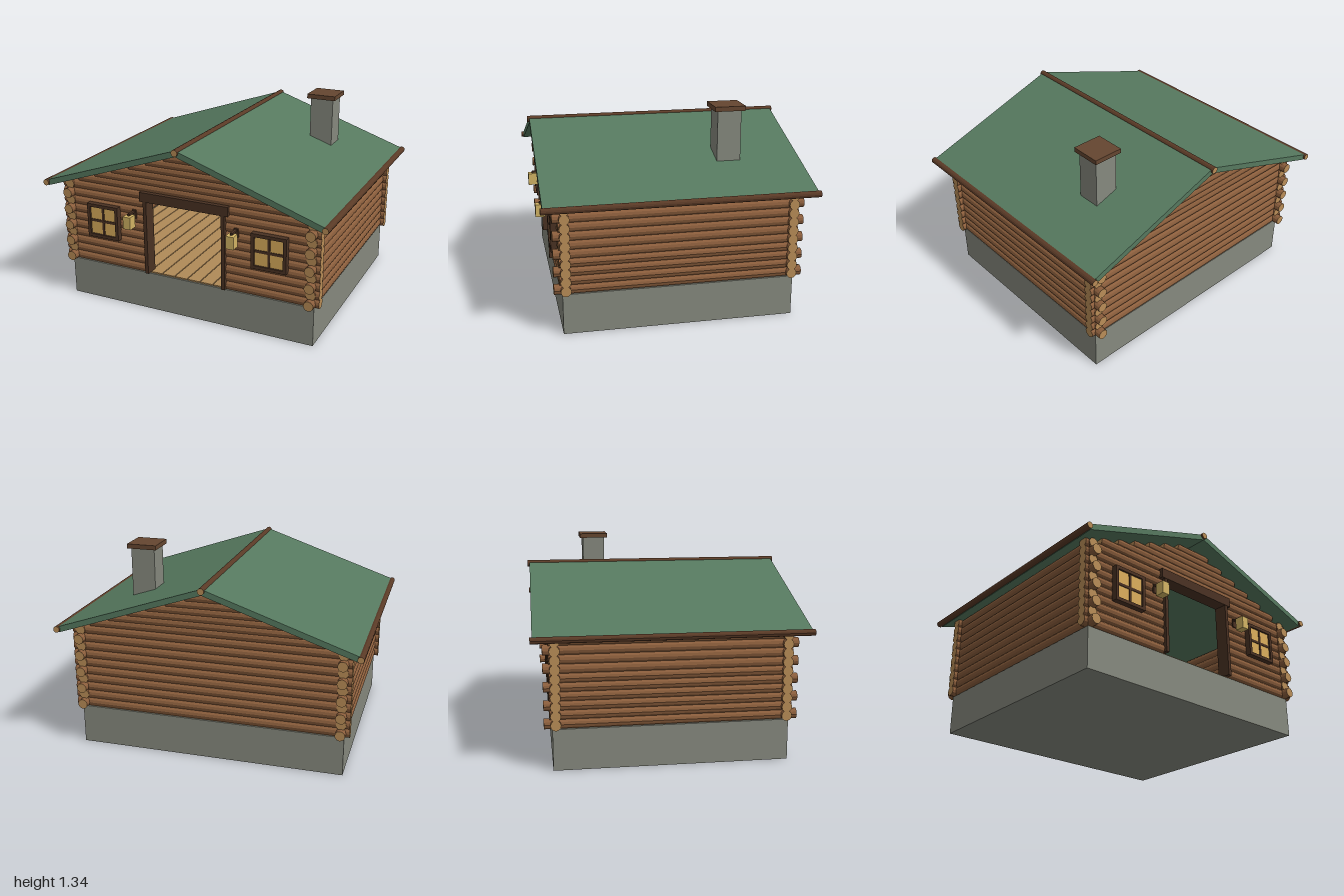
import * as THREE from 'three';

const mat = (color, extra = {}) => new THREE.MeshStandardMaterial({ color, ...extra });
const bark = mat(0x8b5e3c, { flatShading: true });
const darkBark = mat(0x5a3a26, { flatShading: true });
const cutEnd = mat(0xb98d57);
const dark = mat(0x4a3223);
const capBrown = mat(0x654630);
const stone = mat(0x86897e);
const green = mat(0x56795f);
const plank = mat(0xb08a58);
const glass = mat(0xdcae5c);
const lampGlow = mat(0xd2b464);

const R = 0.033, ROW = 0.0575, ROWS = 10, Y0 = 0.296;
const WALL_X = 0.865, WALL_Z = 0.72, DOOR = 0.28;

export function createModel() {
  const root = new THREE.Group();
  root.name = 'logCabin';

  const group = (name, parent = root) => {
    const g = new THREE.Group();
    g.name = name;
    parent.add(g);
    return g;
  };

  const box = (name, material, size, pos, parent = root) => {
    const m = new THREE.Mesh(new THREE.BoxGeometry(...size), material);
    m.name = name;
    m.position.set(...pos);
    parent.add(m);
    return m;
  };

  // Round log with pale sawn ends, lying along x or z
  const log = (name, axis, from, to, y, across, parent, r = R, side = bark) => {
    const geo = new THREE.CylinderGeometry(r, r, to - from, 12);
    const m = new THREE.Mesh(geo, [side, cutEnd, cutEnd]);
    const mid = (from + to) / 2;
    m.name = name;
    if (axis === 'x') {
      m.rotation.z = Math.PI / 2;
      m.position.set(mid, y, across);
    } else {
      m.rotation.x = Math.PI / 2;
      m.position.set(across, y, mid);
    }
    parent.add(m);
  };

  // Stone base and plank floor
  box('foundation', stone, [1.77, 0.263, 1.48], [0, 0.1315, 0]);
  const floor = group('floor');
  const boards = 18, boardW = 1.68 / boards;
  for (let i = 0; i < boards; i++) {
    box('floorBoard', plank, [boardW - 0.006, 0.012, 1.46],
      [-0.84 + (i + 0.5) * boardW, 0.266, 0], floor);
  }

  // Log walls; the front rows are split by the doorway
  const frontWall = group('frontWall');
  const backWall = group('backWall');
  const sideWalls = group('sideWalls');
  for (let i = 0; i < ROWS; i++) {
    const y = Y0 + i * ROW;
    log('wallLog', 'x', -0.92, 0.92, y, -WALL_Z, backWall);
    if (i < ROWS - 1) {
      log('wallLog', 'x', -0.92, -DOOR, y, WALL_Z, frontWall);
      log('wallLog', 'x', DOOR, 0.92, y, WALL_Z, frontWall);
    } else {
      log('wallLog', 'x', -0.92, 0.92, y, WALL_Z, frontWall);
    }
    // Every second side log reaches past the corner
    const end = i % 2 === 0 ? 0.792 : 0.757;
    for (const s of [-1, 1]) log('sideLog', 'z', -end, end, y, s * WALL_X, sideWalls);
  }

  // Stepped gables
  for (const s of [-1, 1]) {
    const gable = group(s > 0 ? 'frontGable' : 'backGable');
    for (let i = 0; i < 6; i++) {
      const half = 0.797 - 0.131 * i;
      log('gableLog', 'x', -half, half, 0.867 + 0.0445 * i, s * WALL_Z, gable);
    }
  }

  // Roof as a chevron section, with ridge and eave poles
  const roof = group('roof');
  const ridge = 1.187, eave = 0.854, thick = 0.04, half = 0.978;
  const section = new THREE.Shape([
    [0, ridge], [-half, eave], [-half + 0.012, eave - thick + 0.004],
    [0, ridge - thick], [half - 0.012, eave - thick + 0.004], [half, eave],
  ].map(([x, y]) => new THREE.Vector2(x, y)));
  const slopes = new THREE.Mesh(
    new THREE.ExtrudeGeometry(section, { depth: 1.7, bevelEnabled: false }), green);
  slopes.name = 'roofSlopes';
  slopes.position.z = -0.85;
  roof.add(slopes);
  log('ridgePole', 'z', -0.863, 0.863, 1.174, 0, roof, 0.022, darkBark);
  for (const s of [-1, 1]) {
    log('eavePole', 'z', -0.863, 0.863, 0.839, s * 0.979, roof, 0.021, darkBark);
  }

  // Chimney
  const chimney = group('chimney');
  box('chimneyStack', stone, [0.16, 0.345, 0.155], [0.53, 1.1325, -0.375], chimney);
  box('chimneyCap', capBrown, [0.2, 0.03, 0.2], [0.53, 1.32, -0.375], chimney);

  // Doorway frame, and a bench against the back wall inside
  const doorway = group('doorway');
  box('lintel', dark, [0.63, 0.064, 0.09], [0, 0.812, 0.728], doorway);
  for (const s of [-1, 1]) {
    box('doorJamb', dark, [0.024, 0.51, 0.09], [s * 0.28, 0.527, 0.725], doorway);
  }
  box('bench', bark, [0.8, 0.19, 0.22], [0, 0.36, -0.575]);

  for (const s of [-1, 1]) {
    // Window: frame with cross bars and four lit panes
    const win = group(s > 0 ? 'leftWindow' : 'rightWindow');
    win.position.set(s * 0.597, 0.592, 0.768);
    box('panes', glass, [0.2, 0.2, 0.02], [0, 0, -0.002], win);
    for (const t of [-1, 1]) {
      box('frameSide', dark, [0.022, 0.235, 0.04], [t * 0.1065, 0, 0], win);
      box('frameRail', dark, [0.192, 0.022, 0.04], [0, t * 0.1065, 0], win);
    }
    box('mullion', dark, [0.016, 0.2, 0.026], [0, 0, 0], win);
    box('crossBar', dark, [0.2, 0.018, 0.025], [0, 0, 0], win);

    // Wall lantern hanging from a bracket
    const lantern = group(s > 0 ? 'leftLantern' : 'rightLantern');
    lantern.position.set(s * 0.367, 0.648, 0.824);
    box('lampBody', lampGlow, [0.054, 0.084, 0.062], [0, 0, 0], lantern);
    box('bracketArm', dark, [0.018, 0.012, 0.09], [0, 0.05, -0.042], lantern);
    box('bracketPlate', dark, [0.03, 0.06, 0.012], [0, 0.03, -0.07], lantern);
    box('hook', dark, [0.012, 0.014, 0.012], [0, 0.046, 0], lantern);
  }

  return root;
}
